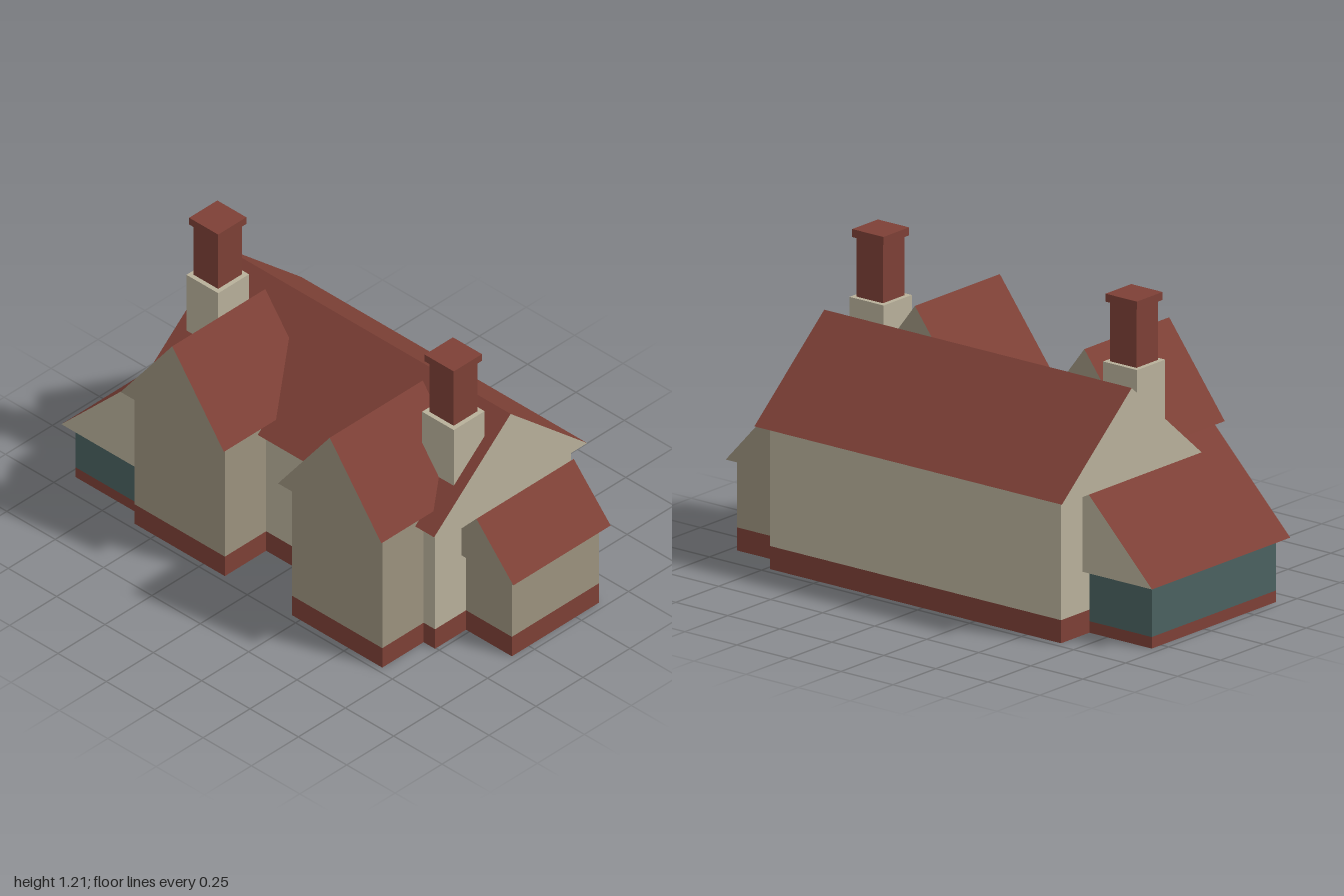
import * as THREE from 'three';

const paint = (color) => new THREE.MeshStandardMaterial({ color, flatShading: true });

export function createModel() {
  const house = new THREE.Group();
  house.name = 'house';
  const light = paint(0xb8b09a);
  const dark = paint(0x9c927e);
  const red = paint(0x7d4036);
  const teal = paint(0x4a6160);

  // Box given by its limits on each axis
  function block(name, mat, [x0, x1], [y0, y1], [z0, z1]) {
    const mesh = new THREE.Mesh(new THREE.BoxGeometry(x1 - x0, y1 - y0, z1 - z0), mat);
    mesh.position.set((x0 + x1) / 2, (y0 + y1) / 2, (z0 + z1) / 2);
    mesh.name = name;
    house.add(mesh);
  }

  // Walls standing on a flush brick plinth
  function walls(name, mat, x, z, top, plinth) {
    block(name + 'Plinth', red, x, [0, plinth], z);
    block(name + 'Walls', mat, x, [plinth, top], z);
  }

  // Gabled roof along z: wall-coloured ends, red slopes and soffit
  function gable(name, endMat, [x0, x1], eave, ridge, [z0, z1]) {
    const shape = new THREE.Shape([
      new THREE.Vector2(x0, eave),
      new THREE.Vector2(x1, eave),
      new THREE.Vector2((x0 + x1) / 2, ridge),
    ]);
    const geo = new THREE.ExtrudeGeometry(shape, { depth: z1 - z0, bevelEnabled: false });
    geo.translate(0, 0, z0);
    const mesh = new THREE.Mesh(geo, [endMat, red]);
    mesh.name = name;
    house.add(mesh);
    return mesh;
  }

  // Main house, with its ridge turned to run along x
  walls('main', light, [-0.665, 0.733], [-0.47, 0.255], 0.56, 0.09);
  gable('mainRoof', light, [-0.3, 0.515], 0.56, 0.913, [-0.706, 0.772]).rotation.y = Math.PI / 2;

  // Two front wings
  for (const [side, x] of [['right', -0.373], ['left', 0.441]]) {
    walls(side + 'Wing', dark, [x - 0.233, x + 0.233], [0.1, 0.475], 0.614, 0.09);
    gable(side + 'WingRoof', dark, [x - 0.267, x + 0.267], 0.614, 0.964, [0.02, 0.515]);
  }

  // Small side extension
  walls('extension', dark, [0.65, 0.97], [-0.375, 0.09], 0.356, 0.09);
  gable('extensionRoof', dark, [0.618, 1], 0.356, 0.565, [-0.405, 0.113]);

  // Glazed garden room under a long sloping roof
  walls('gardenRoom', teal, [-0.965, -0.5], [-0.305, 0.42], 0.242, 0.045);
  gable('gardenRoomRoof', light, [-1, -0.2], 0.248, 0.652, [-0.346, 0.46]);

  // Chimneys: rendered base, brick stack, cap
  for (const [side, x] of [['right', -0.575], ['left', 0.643]]) {
    const part = (name, mat, r, y) =>
      block(side + name, mat, [x - r, x + r], y, [0.065 - r, 0.065 + r]);
    part('ChimneyBase', light, 0.082, [0.6, 0.95]);
    part('ChimneyStack', red, 0.063, [0.95, 1.183]);
    part('ChimneyCap', red, 0.075, [1.183, 1.214]);
  }
  return house;
}
